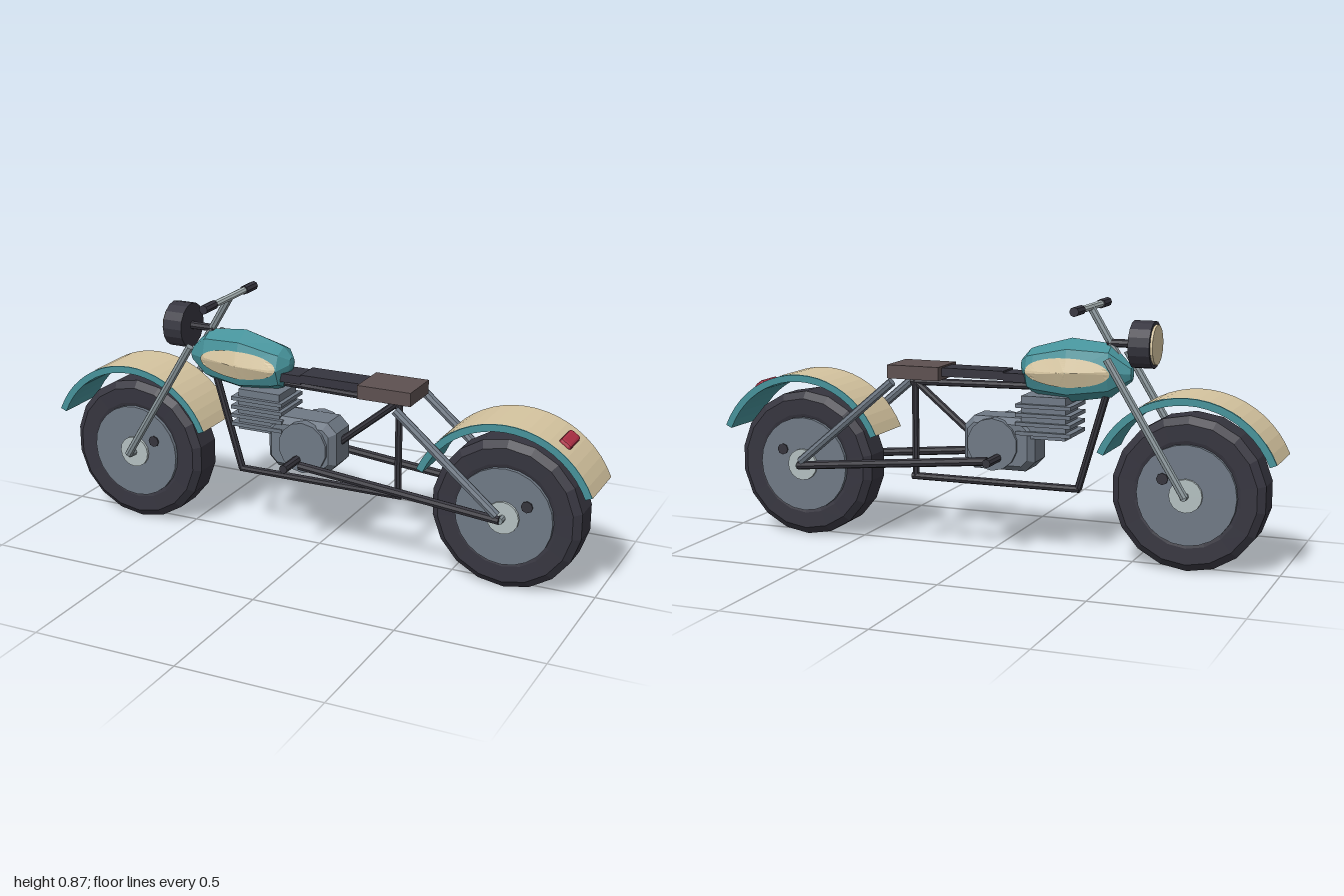
import * as THREE from 'three';
import { RoundedBoxGeometry } from 'three/addons/geometries/RoundedBoxGeometry.js';

const mat = (name, color) => {
  const m = new THREE.MeshStandardMaterial({ color });
  m.name = name;
  return m;
};

export function createModel() {
  const model = new THREE.Group();
  model.name = 'motorcycle';
  const rubber = mat('dark rubber', 0x36353f);
  const frameDark = mat('dark frame', 0x35343c);
  const teal = mat('teal paint', 0x46929a);
  const cream = mat('cream paint', 0xd6c5a0);
  const grey = mat('engine grey', 0x6f7985);
  const steel = mat('steel', 0x89959a);
  const bright = mat('bright metal', 0xb3bfc0);
  const brown = mat('brown leather', 0x5d5050);
  const red = mat('red lens', 0xae2f45);

  // Adds a faceted mesh
  const add = (name, geo, material, parent = model) => {
    const g = geo.index ? geo.toNonIndexed() : geo;
    g.computeVertexNormals();
    const mesh = new THREE.Mesh(g, material);
    mesh.name = name;
    parent.add(mesh);
    return mesh;
  };
  // Round bar between two points
  const rod = (name, material, a, b, r, sides = 8) => {
    const A = new THREE.Vector3(...a), B = new THREE.Vector3(...b);
    const d = B.clone().sub(A);
    const mesh = add(name, new THREE.CylinderGeometry(r, r, d.length(), sides), material);
    mesh.position.copy(A).addScaledVector(d, 0.5);
    mesh.quaternion.setFromUnitVectors(new THREE.Vector3(0, 1, 0), d.normalize());
    return mesh;
  };
  const box = (name, material, x0, x1, y0, y1, halfZ) => {
    const mesh = add(name, new THREE.BoxGeometry(x1 - x0, y1 - y0, halfZ * 2), material);
    mesh.position.set((x0 + x1) / 2, (y0 + y1) / 2, 0);
    return mesh;
  };
  // Cylinder along z, centred
  const drum = (r, halfZ, sides) => new THREE.CylinderGeometry(r, r, halfZ * 2, sides).rotateX(Math.PI / 2);

  // Wheels and mudguards
  const deg = Math.PI / 180, a0 = 23 * deg, a1 = 157 * deg;
  for (const [label, x] of [['front', -0.7], ['rear', 0.7]]) {
    const wheel = new THREE.Group();
    wheel.name = label + 'Wheel';
    wheel.position.set(x, 0.262, 0);
    model.add(wheel);
    const profile = [[0.15, -0.06], [0.18, -0.068], [0.235, -0.07], [0.26, -0.05], [0.26, 0.05],
      [0.235, 0.07], [0.18, 0.068], [0.15, 0.06]].map(p => new THREE.Vector2(...p));
    add('tyre', new THREE.LatheGeometry(profile, 18).rotateX(Math.PI / 2), rubber, wheel);
    add('wheelDisc', drum(0.168, 0.079, 24), grey, wheel);
    add('hub', drum(0.056, 0.089, 16), bright, wheel);
    add('valve', drum(0.02, 0.084, 8), frameDark, wheel).position.set(0.08, 0.05, 0);

    const arc = new THREE.Shape();
    arc.absarc(0, 0, 0.324, a0, a1, false);
    arc.absarc(0, 0, 0.3, a1, a0, true);
    const guard = new THREE.ExtrudeGeometry(arc, { depth: 0.206, bevelEnabled: false, curveSegments: 10 });
    add(label + 'Mudguard', guard.translate(0, 0, -0.103), teal, wheel);
    const skin = new THREE.CylinderGeometry(0.326, 0.326, 0.206, 20, 1, true, a0 + Math.PI / 2, a1 - a0);
    add(label + 'MudguardSkin', skin.rotateX(Math.PI / 2), cream, wheel);
    rod(label + 'Axle', steel, [x, 0.262, -0.118], [x, 0.262, 0.118], 0.012);
  }

  // Tail light
  const tail = add('tailLight', new RoundedBoxGeometry(0.03, 0.045, 0.106, 1, 0.01), red);
  tail.position.set(0.883, 0.53, 0);
  tail.rotation.z = 55 * deg;

  // Fork, swing arm and shock on each side
  for (const s of [-1, 1]) {
    const z = s * 0.118;
    rod('forkLeg', steel, [-0.705, 0.262, z], [-0.437, 0.7, z], 0.014);
    rod('swingArm', frameDark, [-0.02, 0.333, z], [0.7, 0.265, z], 0.015);
    rod('shock', grey, [0.33, 0.585, z], [0.69, 0.28, z], 0.016);
    rod('grip', rubber, [-0.345, 0.857, s * 0.105], [-0.345, 0.857, s * 0.18], 0.016);
  }
  rod('steeringStem', steel, [-0.48, 0.63, 0], [-0.345, 0.855, 0], 0.014);
  rod('handlebar', bright, [-0.345, 0.857, -0.11], [-0.345, 0.857, 0.11], 0.012);

  // Headlight
  rod('headlightShell', rubber, [-0.567, 0.74, 0], [-0.495, 0.74, 0], 0.079, 16);
  rod('headlightLens', cream, [-0.575, 0.74, 0], [-0.567, 0.74, 0], 0.067, 16);
  rod('headlightBracket', frameDark, [-0.5, 0.74, 0], [-0.405, 0.74, 0], 0.014);

  // Frame
  const bar = (name, a, b) => rod(name, frameDark, [...a, 0], [...b, 0], 0.013);
  bar('topTube', [-0.4, 0.585], [0.31, 0.572]);
  bar('downTube', [-0.4, 0.56], [-0.305, 0.236]);
  bar('bottomTube', [-0.31, 0.236], [0.308, 0.236]);
  bar('seatPost', [0.295, 0.236], [0.295, 0.59]);
  bar('braceTube', [0.285, 0.567], [0.045, 0.37]);
  rod('footPegs', frameDark, [-0.045, 0.34, -0.19], [-0.045, 0.34, 0.19], 0.015);

  // Seat
  box('seat', brown, 0.175, 0.367, 0.59, 0.637, 0.079);
  box('seatFront', rubber, -0.05, 0.178, 0.602, 0.632, 0.048);
  box('seatNose', rubber, -0.13, -0.05, 0.596, 0.626, 0.044);

  // Engine
  box('cylinderBlock', grey, -0.28, -0.122, 0.41, 0.555, 0.065);
  for (let i = 0; i < 4; i++) box('coolingFin', grey, -0.302, -0.106, 0.423 + i * 0.031, 0.436 + i * 0.031, 0.08);
  const w = 0.108, h = 0.071, c = 0.022;
  const oct = new THREE.Shape([[w, h - c], [w - c, h], [c - w, h], [-w, h - c], [-w, c - h], [c - w, -h],
    [w - c, -h], [w, c - h]].map(p => new THREE.Vector2(...p)));
  const crank = new THREE.ExtrudeGeometry(oct, { depth: 0.1, bevelSize: 0.02, bevelThickness: 0.025, bevelSegments: 1 });
  add('crankcase', crank.translate(0, 0, -0.05), grey).position.set(-0.04, 0.385, 0);
  add('crankcaseCover', drum(0.09, 0.087, 14), grey).position.set(-0.025, 0.385, 0);

  // Fuel tank: octagonal sections [x, centre y, half height, half width]
  const sections = [[-0.495, 0.64, 0.0005, 0.0005], [-0.49, 0.64, 0.025, 0.02], [-0.42, 0.648, 0.09, 0.066],
    [-0.28, 0.643, 0.108, 0.088], [-0.16, 0.636, 0.082, 0.076], [-0.135, 0.636, 0.073, 0.068],
    [-0.105, 0.652, 0.022, 0.022], [-0.102, 0.652, 0.0005, 0.0005]];
  const mesh = (pos, idx) => {
    const g = new THREE.BufferGeometry();
    g.setAttribute('position', new THREE.Float32BufferAttribute(pos, 3));
    g.setIndex(idx);
    return g;
  };
  const pos = [], idx = [];
  sections.forEach(([x, y, ry, rz], i) => {
    for (let j = 0; j < 8; j++) {
      const a = j * Math.PI / 4;
      pos.push(x, y + ry * Math.cos(a), rz * Math.sin(a));
      if (i === sections.length - 1) continue;
      const k = (j + 1) % 8, p = i * 8 + j, q = i * 8 + k;
      idx.push(p, q, p + 8, q, q + 8, p + 8);
    }
  });
  add('fuelTank', mesh(pos, idx), teal);

  // Tank side panels that follow the tank surface
  const halfWidth = (x, y) => {
    let i = 0;
    while (i < sections.length - 2 && sections[i + 1][0] < x) i++;
    const A = sections[i], B = sections[i + 1], t = (x - A[0]) / (B[0] - A[0]);
    const [cy, ry, rz] = [1, 2, 3].map(k => A[k] + (B[k] - A[k]) * t);
    return rz * (1 - 0.414 * Math.abs(y - cy) / ry);
  };
  for (const s of [-1, 1]) {
    const P = [], I = [], rings = 8, n = 32;
    for (let r = 0; r <= rings; r++) for (let j = 0; j < n; j++) {
      const f = Math.max(r / rings, 0.005), a = s * j / n * Math.PI * 2;
      const x = -0.283 + 0.147 * f * Math.cos(a), y = 0.642 + 0.049 * f * Math.sin(a);
      P.push(x, y, s * (halfWidth(x, y) + 0.004));
      if (r === rings) continue;
      const k = (j + 1) % n, p = r * n + j, q = r * n + k;
      I.push(p, p + n, q, q, p + n, q + n);
    }
    add('tankPanel', mesh(P, I), cream);
  }
  return model;
}
